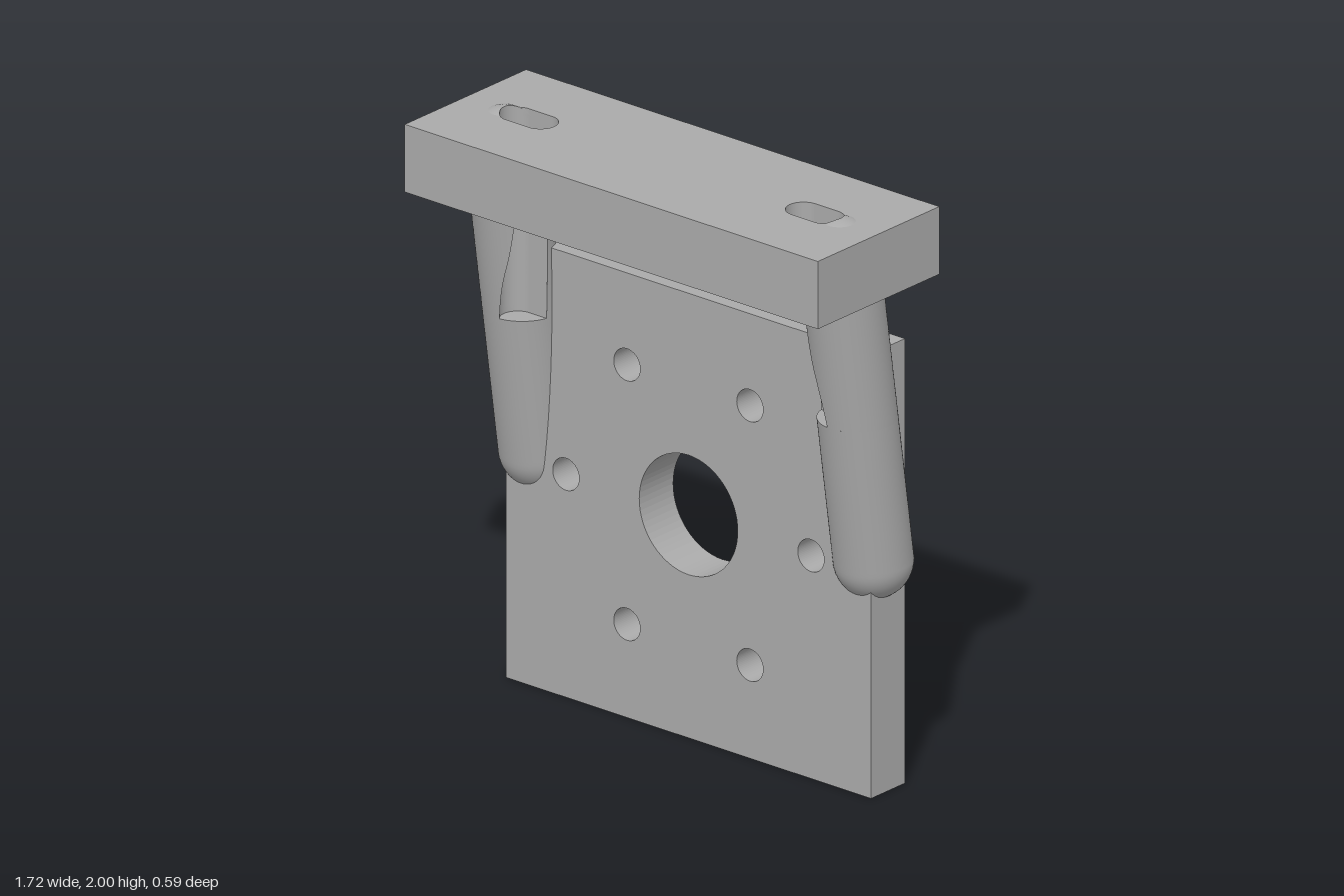
import * as THREE from 'three';

const R = 0.129;                       // rod radius
const ROD_X = 0.697;                   // rod centre line
const LOW = { y: 0.78, z: -0.165 };    // lower ball centre
const HIGH = { y: 1.871, z: 0 };       // upper ball centre
const SLOT = { x0: 0.5475, x1: 0.6425, r: 0.0575 };
const FLOOR = 1.29;                    // bottom of the channel cut in each rod

const lerp = THREE.MathUtils.lerp;
const steps = (n, f) => Array.from({ length: n + 1 }, (_, i) => f(i / n));

// Horizontal section of the leaning, round-ended rod
function section(y) {
  const k = THREE.MathUtils.clamp((y - LOW.y) / (HIGH.y - LOW.y), 0, 1);
  const cz = lerp(LOW.z, HIGH.z, k);
  const over = Math.max(LOW.y - y, y - HIGH.y, 0);
  const rx = Math.sqrt(Math.max(R * R - over * over, 0));
  const lean = Math.hypot(1, (HIGH.z - LOW.z) / (HIGH.y - LOW.y));
  return { y, cz, rx, rz: over > 0 ? rx : rx * lean };
}
const onSection = (s, a) => [ROD_X + s.rx * Math.cos(a), s.y, s.cz + s.rz * Math.sin(a)];

// Slot outline: front straight (0-1), round outer end (1-2), back straight (2-3)
function slotPoint(t) {
  if (t < 1) return [lerp(0.49, SLOT.x1, t), SLOT.r];
  if (t > 2) return [lerp(SLOT.x1, 0.49, t - 2), -SLOT.r];
  const a = (1.5 - t) * Math.PI;
  return [SLOT.x1 + SLOT.r * Math.cos(a), SLOT.r * Math.sin(a)];
}

// Splits a section into the remaining outer arc, the channel wall and the removed inner arc
function cutSection(y) {
  const s = section(y);
  const inside = t => {
    const [x, z] = slotPoint(t);
    return ((x - ROD_X) / s.rx) ** 2 + ((z - s.cz) / s.rz) ** 2 < 1;
  };
  let t0 = 0, t1 = 3;
  while (t0 < 3 && !inside(t0)) t0 += 0.001;
  while (t1 > t0 && !inside(t1)) t1 -= 0.001;
  const angle = t => {
    const [x, z] = slotPoint(t);
    return Math.atan2((z - s.cz) / s.rz, (x - ROD_X) / s.rx);
  };
  const a = angle(t0);
  let b = angle(t1);
  if (b > a) b -= Math.PI * 2;
  return {
    outer: steps(48, u => onSection(s, lerp(b, a, u))),
    inner: steps(48, u => onSection(s, lerp(a, b + Math.PI * 2, u))),
    wall: steps(48, u => {
      const [x, z] = slotPoint(lerp(t0, t1, u));
      return [x, y, z];
    }),
  };
}

// Skin across rings of points; side -1 mirrors it in x
function loft(rings, side, closed = false) {
  const n = rings[0].length, index = [];
  const pos = rings.flat().flatMap(([x, y, z]) => [x * side, y, z]);
  for (let i = 0; i < rings.length - 1; i++) {
    for (let j = 0; j < (closed ? n : n - 1); j++) {
      const k = (j + 1) % n;
      const a = i * n + j, b = a + n, c = i * n + k, d = c + n;
      if (side > 0) index.push(a, b, c, c, b, d);
      else index.push(a, c, b, c, d, b);
    }
  }
  const g = new THREE.BufferGeometry();
  g.setAttribute('position', new THREE.Float32BufferAttribute(pos, 3));
  g.setIndex(index);
  g.computeVertexNormals();
  return g;
}

function circleHole(x, y, r) {
  return new THREE.Path().absarc(x, y, r, 0, Math.PI * 2, true);
}

function slotHole(side) {
  const c = (SLOT.x0 + SLOT.x1) / 2 * side, h = (SLOT.x1 - SLOT.x0) / 2;
  const p = new THREE.Path();
  p.absarc(c + h, 0, SLOT.r, -Math.PI / 2, Math.PI / 2, false);
  p.absarc(c - h, 0, SLOT.r, Math.PI / 2, Math.PI * 1.5, false);
  p.closePath();
  return p;
}

// Rectangular slab with holes
function slab(x, y0, y1, depth, holes) {
  const s = new THREE.Shape();
  s.moveTo(-x, y0).lineTo(x, y0).lineTo(x, y1).lineTo(-x, y1).closePath();
  s.holes.push(...holes);
  return new THREE.ExtrudeGeometry(s, { depth, bevelEnabled: false, curveSegments: 32 });
}

export function createModel() {
  const model = new THREE.Group();
  const grey = new THREE.MeshStandardMaterial({ color: 0xaaaaaa, side: THREE.DoubleSide });
  grey.name = 'plain grey';
  const add = (parent, name, geometry) => {
    const m = new THREE.Mesh(geometry, grey);
    m.name = name;
    parent.add(m);
    return m;
  };

  // Upright plate: large bore ringed by six bolt holes
  const holes = [circleHole(0, 0.765, 0.205)];
  for (const s of [-1, 1]) {
    holes.push(circleHole(s * 0.51, 0.765, 0.055));
    for (const y of [0.32, 1.21]) holes.push(circleHole(s * 0.256, y, 0.055));
  }
  add(model, 'mountingPlate', slab(0.76, 0, 1.525, 0.165, holes)).position.z = -0.245;

  // Top bar with two slots
  const bar = slab(0.86, -0.295, 0.295, 0.232, [slotHole(1), slotHole(-1)]);
  bar.rotateX(-Math.PI / 2);
  add(model, 'topBar', bar).position.y = 1.757;

  // Leaning round-ended rods, channelled below the slots
  const lowerYs = [
    ...steps(14, u => LOW.y - R * Math.cos(u * Math.PI / 2)),
    ...steps(5, u => lerp(LOW.y, FLOOR, u)).slice(1),
  ];
  const upperYs = [
    ...steps(24, u => lerp(FLOOR, HIGH.y, u)),
    ...steps(14, u => HIGH.y + R * Math.sin(u * 1.45)).slice(1),
  ];
  const lowerRings = lowerYs.map(y => {
    const s = section(y);
    return Array.from({ length: 64 }, (_, j) => onSection(s, j / 32 * Math.PI));
  });
  const cuts = upperYs.map(cutSection);
  const tip = cuts[cuts.length - 1];
  for (const side of [1, -1]) {
    const rod = new THREE.Group();
    rod.name = side > 0 ? 'leftRod' : 'rightRod';
    add(rod, 'lowerRod', loft(lowerRings, side, true));
    add(rod, 'upperRod', loft(cuts.map(c => c.outer), side));
    add(rod, 'channelWall', loft(cuts.map(c => c.wall), side));
    add(rod, 'channelFloor', loft([cuts[0].inner, cuts[0].wall], side));
    add(rod, 'rodTip', loft([tip.outer, [...tip.wall].reverse()], side));
    model.add(rod);
  }
  return model;
}
